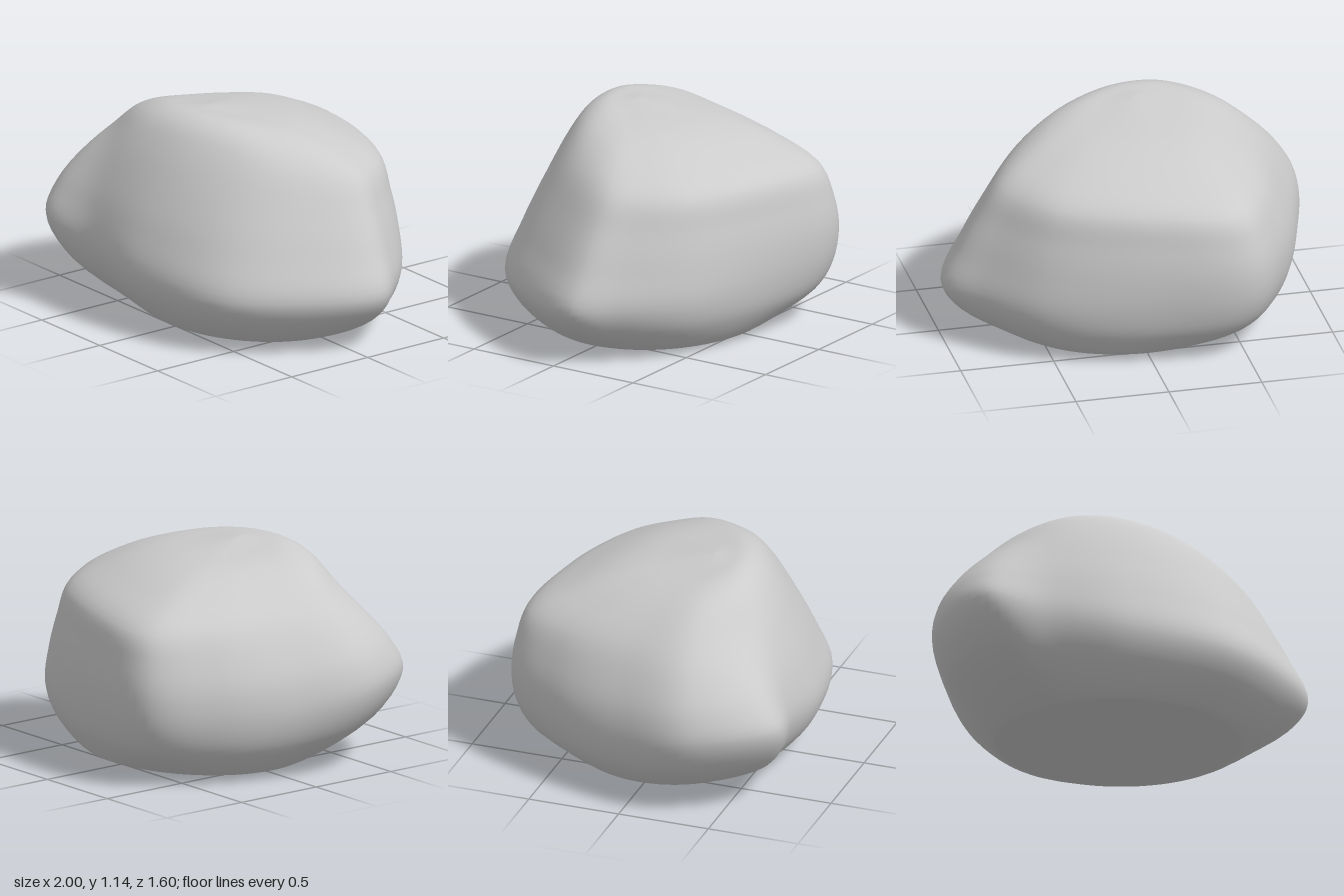
import * as THREE from 'three';
import { mergeVertices } from 'three/addons/utils/BufferGeometryUtils.js';

// Corners (x, z) of the widest outline and of the shoulder, both starting at the right-hand tip
// and passing over the front, the left and the back
const BELLY = [[1, -0.09], [0.81, 0.33], [0.53, 0.62], [0, 0.76], [-0.4, 0.755], [-0.75, 0.78],
  [-0.99, 0.37], [-0.91, -0.06], [-0.75, -0.45], [-0.51, -0.75], [0, -0.73], [0.55, -0.56], [0.85, -0.3]];
const SHOULDER = [[0.7, -0.13], [0.57, 0.15], [0.36, 0.36], [0, 0.53], [-0.36, 0.56], [-0.61, 0.45],
  [-0.76, 0.27], [-0.73, -0.07], [-0.64, -0.42], [-0.46, -0.7], [0, -0.67], [0.46, -0.49], [0.63, -0.3]];
const APEX = new THREE.Vector3(-0.1, 1.14, 0.2);
const AROUND = 104, UP = 60;

const loopThrough = (points) => new THREE.CatmullRomCurve3(points, true);
// The belly rises towards the front left corner
const bellyLoop = loopThrough(BELLY.map(([x, z]) =>
  new THREE.Vector3(x, 0.31 + 0.07 * Math.max(0, z - x) ** 2, z)));
// The shoulder lies on a shallow dome that drops towards the back
const shoulderLoop = loopThrough(SHOULDER.map(([x, z]) =>
  new THREE.Vector3(x, 0.92 + 0.1 * z + 0.02 * x - 0.07 * x * x, z)));

// Rounded footprint below a point of the belly
function footprintPoint(belly) {
  const angle = Math.atan2(belly.z / 0.77, belly.x);
  return new THREE.Vector3(0.65 * Math.cos(angle), 0.02, 0.55 * Math.sin(angle) - 0.01);
}

// Flank between belly (t = 0) and shoulder (t = 1), bulging most on the left
function flankPoint(belly, shoulder, t) {
  const p = belly.clone().lerp(shoulder, t);
  const bulge = 1 + (0.2 - 0.1 * p.x) * t * (1 - t);
  return p.set(p.x * bulge, p.y, p.z * bulge);
}

// Domed top between shoulder (t = 0) and apex (t = 1), fuller towards the front
function crownPoint(shoulder, t) {
  const p = shoulder.clone().lerp(APEX, t);
  p.y += 0.42 * t * (1 - t) ** 1.5 * (1 + 0.3 * p.z);
  return p;
}

// Upright profile at one place around the rock: underside, belly, flank, crown
function profileAt(u) {
  const belly = bellyLoop.getPoint(u), shoulder = shoulderLoop.getPoint(u);
  const edge = footprintPoint(belly);
  const low = edge.clone().lerp(belly, 0.74).setY((edge.y + belly.y) / 2);
  return new THREE.CatmullRomCurve3([
    new THREE.Vector3(),
    edge.clone().multiplyScalar(0.5),
    edge.clone().multiplyScalar(0.92),
    edge, low, belly,
    flankPoint(belly, shoulder, 0.35),
    flankPoint(belly, shoulder, 0.68),
    shoulder,
    crownPoint(shoulder, 0.25),
    crownPoint(shoulder, 0.5),
    crownPoint(shoulder, 0.8),
    APEX,
  ]);
}

function boulderGeometry() {
  const geometry = new THREE.PlaneGeometry(1, 1, AROUND, UP);
  const position = geometry.attributes.position;
  for (let i = 0; i <= AROUND; i++) {
    const profile = profileAt(1 - (i % AROUND) / AROUND);
    for (let j = 0; j <= UP; j++) {
      const p = profile.getPoint(1 - j / UP);
      position.setXYZ(j * (AROUND + 1) + i, p.x, Math.max(p.y, 0), p.z);
    }
  }
  // Weld the seam and the poles so that the shading is continuous
  geometry.deleteAttribute('normal');
  geometry.deleteAttribute('uv');
  const welded = mergeVertices(geometry, 1e-5);
  welded.computeVertexNormals();
  return welded;
}

export function createModel() {
  const group = new THREE.Group();
  group.name = 'rock';
  const boulder = new THREE.Mesh(boulderGeometry(), new THREE.MeshStandardMaterial({ color: 0xcccccc }));
  boulder.name = 'boulder';
  group.add(boulder);
  return group;
}
